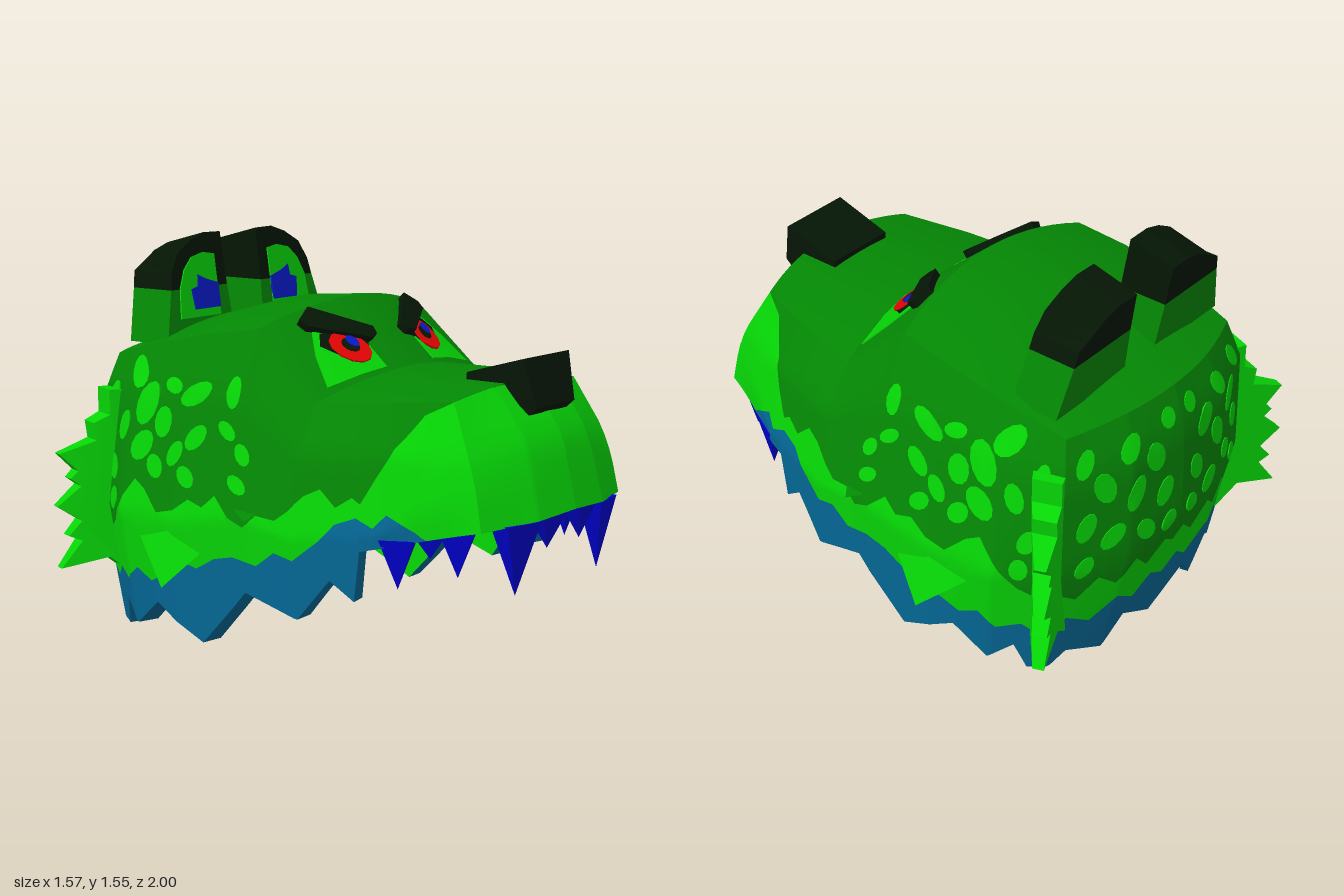
import * as THREE from 'three';
import { toCreasedNormals } from 'three/addons/utils/BufferGeometryUtils.js';

const V = (x, y, z) => new THREE.Vector3(x, y, z);
const mat = (name, color, side = THREE.FrontSide) => {
  const m = new THREE.MeshStandardMaterial({ color, side });
  m.name = name;
  return m;
};

// Half outline of the head, nose tip to nape: each column runs from rim to top crease
const COLS = [
  [[0, .6, 1], [0, .75, .965], [0, .87, .935], [0, 1.07, .79]],
  [[.22, .595, .98], [.21, .75, .945], [.2, .865, .912], [.2, 1.057, .775]],
  [[.47, .57, .9], [.46, .72, .87], [.45, .83, .83], [.4, 1.02, .73]],
  [[.61, .2, .53], [.62, .55, .55], [.57, .82, .51], [.48, 1, .45]],
  [[.69, .15, .22], [.7, .5, .22], [.64, .8, .21], [.53, .98, .2]],
  [[.7, .05, -.05], [.73, .55, -.05], [.62, 1, -.08], [.52, 1.23, -.09]],
  [[.7, 0, -.35], [.73, .5, -.35], [.63, 1, -.33], [.54, 1.2, -.31]],
  [[.65, 0, -.6], [.7, .5, -.64], [.61, .97, -.62], [.53, 1.14, -.6]],
  [[.53, 0, -.78], [.57, .5, -.86], [.55, .92, -.86], [.5, 1.08, -.82]],
  [[.28, 0, -.86], [.29, .5, -.97], [.28, .93, -.96], [.25, 1.095, -.9]],
  [[0, 0, -.87], [0, .55, -1], [0, .93, -.985], [0, 1.1, -.93]],
].map(c => c.map(p => V(...p)));

// Centre line of the top surface, matching columns 2 to 8
const MIDS = [[1.07, .79], [1.07, .5], [1.07, .26], [1.32, -.03], [1.3, -.3], [1.22, -.6], [1.1, -.93]].map(p => V(0, ...p));

const column = u => {
  const i = Math.min(9, Math.floor(u + 1e-6));
  return COLS[i].map((p, k) => p.clone().lerp(COLS[i + 1][k], u - i));
};
const topY = u => column(u)[3].y;
const side = (u, y) => {
  const c = column(u);
  const k = y < c[1].y ? 0 : y < c[2].y ? 1 : 2;
  return c[k].clone().lerp(c[k + 1], (y - c[k].y) / (c[k + 1].y - c[k].y));
};
const roof = (r, s) => {
  const i = Math.max(2, Math.min(7, Math.floor(r + 1e-6)));
  const edge = COLS[i][3].clone().lerp(COLS[i + 1][3], r - i);
  const p = MIDS[i - 2].clone().lerp(MIDS[i - 1], r - i).lerp(edge, s * s);
  p.x = edge.x * s;
  return p;
};
const brow = (x, y) => {
  const s0 = x / .525, t = (y - 1.07 + .09 * s0 * s0) / .25;
  return roof(4 + t * .999, x / (.53 - .01 * t));
};
const earFront = (x, y) => V(x, y, -.6 - (y - 1.35) * .15);

// Piecewise linear curve through [u, y] pairs
const curve = pts => u => {
  const i = Math.max(1, pts.findIndex(p => p[0] >= u - 1e-6));
  const [a, b] = [pts[i - 1], pts[i]];
  return a[1] + (b[1] - a[1]) * (u - a[0]) / (b[0] - a[0]);
};
const rim = curve([[0, .6], [2, .575], [3.2, .48], [3.25, .29], [3.55, .36], [3.95, .2], [4.8, .27], [5.55, .04], [6.4, .16], [6.95, .05],
  [7.4, .13], [7.65, .01], [8.05, .02], [8.3, .07], [8.95, 0], [9.3, .12], [10, 0]]);
const blueRaw = curve([[0, .3], [2.4, .5], [2.6, .56], [2.9, .62], [3.05, .57], [3.25, .6], [3.5, .57], [3.7, .5], [4, .42], [4.3, .44],
  [4.6, .38], [5, .4], [5.3, .38], [5.6, .33], [5.9, .35], [6.2, .28], [6.5, .24], [6.8, .28], [7.1, .22], [7.5, .25], [7.8, .2],
  [8.2, .27], [8.6, .2], [9, .28], [9.4, .2], [9.7, .27], [10, .22]]);
const brightRaw = curve([[0, 1.1], [2, 1.02], [2.4, .97], [2.8, .85], [3.1, .7], [3.2, .65], [3.3, .67], [3.5, .63], [3.7, .69], [3.9, .66],
  [4.1, .6], [4.3, .56], [4.6, .57], [4.8, .52], [5.05, .55], [5.3, .62], [5.5, .57], [5.75, .59], [6, .54], [6.3, .52], [6.6, .6],
  [6.8, .63], [7.1, .52], [7.4, .44], [7.7, .4], [8, .42], [8.3, .36], [8.6, .44], [8.9, .37], [9.2, .45], [9.5, .36], [9.8, .44], [10, .4]]);
const blueTop = u => Math.max(rim(u), blueRaw(u));
const brightTop = u => Math.min(topY(u), brightRaw(u));

// Lining surface: b runs from rim to top; the mane is thickest at the sides
const inset = curve([[0, .97], [2.4, .96], [3.4, .87], [8.2, .87], [9, .98], [10, .98]]);
const inner = (u, b) => {
  const k = inset(u);
  return side(u, rim(u) + (topY(u) - rim(u)) * b).multiply(V(k + (.96 - k) * b * b, 1 - .02 * b, .96));
};

const fromTriangles = tris => toCreasedNormals(new THREE.BufferGeometry().setFromPoints(tris), .6);
const grid = (f, nu, nv, inward = false) => {
  const tris = [];
  for (let i = 0; i < nu; i++) for (let j = 0; j < nv; j++) {
    const [a, b, c, d] = [f(i / nu, j / nv), f((i + 1) / nu, j / nv), f((i + 1) / nu, (j + 1) / nv), f(i / nu, (j + 1) / nv)];
    for (const [p, q, r] of [[a, b, c], [a, c, d]]) {
      if (V().subVectors(q, p).cross(V().subVectors(r, p)).length() < 1e-9) continue;
      tris.push(...(inward ? [p, r, q] : [p, q, r]));
    }
  }
  return fromTriangles(tris);
};
const band = (lo, hi) => grid((a, b) => side(a * 10, lo(a * 10) + (hi(a * 10) - lo(a * 10)) * b), 200, 8);
const hem = (u0, u1) => grid((a, b) => {
  const u = u0 + (u1 - u0) * a;
  return side(u, rim(u)).lerp(inner(u, 0), b);
}, Math.round((u1 - u0) * 20), 1, true);

// Plate of height h laid on a surface, with walls down to it
const plate = (surf, outline, h) => {
  const lift = (x, y, k) => {
    const p = surf(x, y), e = 1e-3;
    const n = surf(x + e, y).sub(p).cross(surf(x, y + e).sub(p)).normalize();
    return p.addScaledVector(n, k);
  };
  const n = outline.length;
  const mid = lift(outline.reduce((s, p) => s + p[0], 0) / n, outline.reduce((s, p) => s + p[1], 0) / n, h);
  const tris = [];
  outline.forEach((p, i) => {
    const q = outline[(i + 1) % n];
    const [a, b, c, d] = [lift(...p, h), lift(...q, h), lift(...p, -.004), lift(...q, -.004)];
    tris.push(mid, a, b, a, c, d, a, d, b);
  });
  return fromTriangles(tris);
};
const oval = (cx, cy, rx, ry, tilt = 0, n = 12) => Array.from({ length: n }, (_, i) => {
  const a = i / n * Math.PI * 2;
  return [cx + rx * (Math.cos(a) + tilt * Math.sin(a)), cy + ry * Math.sin(a)];
});
const extrude = (pts, depth) => new THREE.ExtrudeGeometry(new THREE.Shape(pts.map(p => new THREE.Vector2(...p))), { depth, bevelEnabled: false });
const bend = (g, rule) => {
  const p = g.attributes.position, v = V();
  for (let i = 0; i < p.count; i++) { v.fromBufferAttribute(p, i); rule(v); p.setXYZ(i, v.x, v.y, v.z); }
  return toCreasedNormals(g, .3);
};
const mirrored = src => {
  const g = src.index ? src.toNonIndexed() : src.clone();
  for (const key of ['position', 'normal']) {
    const a = g.attributes[key].array;
    for (let i = 0; i < a.length; i += 9) for (let k = 0; k < 3; k++) [a[i + 3 + k], a[i + 6 + k]] = [a[i + 6 + k], a[i + 3 + k]];
    for (let i = 0; i < a.length; i += 3) a[i] *= -1;
  }
  return g;
};

export function createModel() {
  const root = new THREE.Group();
  const dark = mat('dark green fur', 0x048804), bright = mat('bright green fur', 0x06d606, THREE.DoubleSide);
  const black = mat('black', 0x051605), red = mat('red iris', 0xff0606), blue = mat('blue detail', 0x0a1acc);
  const tooth = mat('blue teeth', 0x0000d4), mane = mat('teal mane', 0x046896);
  const add = (name, g, m) => {
    const mesh = new THREE.Mesh(g, m);
    mesh.name = name;
    root.add(mesh);
  };
  const pair = (name, g, m) => { add(name + 'Left', g, m); add(name + 'Right', mirrored(g), m); };

  // Head shell: coloured bands around the sides, then the top
  pair('maneBand', band(rim, blueTop), mane);
  pair('muzzleAndCheekBand', band(blueTop, brightTop), bright);
  pair('upperHead', band(brightTop, topY), dark);
  add('headTop', grid((a, b) => roof(2 + b * 6, a * 2 - 1), 16, 12), dark);

  // Lining of the open underside and the hem that joins it to the shell
  pair('lining', grid((a, b) => inner(a * 10, b), 200, 10, true), bright);
  add('liningTop', grid((a, b) => roof(2 + b * 6, a * 2 - 1).multiply(V(.96, .98, .96)), 12, 12, true), bright);
  pair('lipEdge', hem(0, 2.5), dark);
  pair('maneEdge', hem(2.5, 10), mane);

  // Spots on the cheeks and nape: column, height, half width, half height, tilt
  [[5.15, 1, .13, .06, 0], [5.85, .98, .24, .05, -.6], [6.3, 1, .16, .03, .3], [6.75, .92, .2, .085, -.3], [7.1, 1.03, .22, .06, .5],
    [4.9, .78, .12, .04, .4], [5.2, .86, .14, .035, .6], [5.75, .82, .17, .05, -.5], [6.1, .75, .13, .05, -.4], [6.4, .86, .16, .06, 0],
    [6.75, .76, .2, .06, -.3], [4.95, .67, .14, .035, .5], [5.85, .67, .15, .04, .4], [6.45, .69, .15, .045, .3], [7.25, .82, .15, .06, -.3],
    [7.5, .65, .15, .05, .3], [7.4, .53, .14, .045, 0], [7.65, .93, .12, .05, .3], [8.3, .97, .13, .05, .3], [8.6, .85, .16, .07, -.4],
    [8.35, .7, .14, .06, .3], [8.75, .62, .17, .05, .4], [9, .97, .16, .05, .3], [9.1, .77, .15, .07, .4], [9.45, .88, .17, .065, -.3],
    [9.3, .58, .16, .05, -.4], [9.65, .7, .15, .06, .3], [9.75, 1, .13, .04, 0], [8.35, .52, .13, .045, .3], [9.75, .55, .13, .045, .2],
  ].forEach(s => pair('spot', plate(side, oval(...s), .003), bright));

  // Cheek tufts
  const tuft = (a, b, c, tip) => fromTriangles([a, b, tip, b, c, tip, c, a, tip].map(p => V(...p)));
  pair('lowerCheekTuft', tuft([.7, .44, -.16], [.7, .42, -.54], [.68, .62, -.38], [.785, .25, -.35]), bright);
  pair('upperCheekTuft', tuft([.7, .58, .06], [.69, .76, -.16], [.69, .62, -.12], [.745, .55, .03]), dark);

  // Jagged fur fins at the rear corners, thick at the root
  const fin = [[-.04, .2], [.06, .28], [.24, .24], [.16, .35], [.21, .37], [.16, .43], [.25, .49], [.16, .57], [.2, .6], [.17, .63],
    [.24, .7], [.1, .75], [.11, .82], [.05, .85], [.05, .95], [-.04, .95]];
  const finGeo = bend(extrude(fin, 1), v => { v.z *= .13 - .36 * Math.max(0, v.x); });
  pair('furFin', finGeo.rotateY(.38).translate(.53, 0, -.85), bright);

  // Ears
  const lean = v => {
    if (v.y > 1.47 && v.z < -.7) v.y -= .05;
    v.z -= (v.y - 1.35) * .15;
  };
  const ear = pts => bend(extrude(pts, .2).translate(0, 0, -.8), lean);
  pair('earBase', ear([[.09, 1.13], [.49, 1.13], [.435, 1.335], [.105, 1.335]]), dark);
  pair('earTip', ear([[.105, 1.335], [.435, 1.335], [.42, 1.4], [.375, 1.475], [.29, 1.522], [.21, 1.547], [.11, 1.545]]), black);
  pair('innerEar', plate(earFront, [[.165, 1.22], [.4, 1.22], [.385, 1.34], [.35, 1.41], [.3, 1.455], [.23, 1.47], [.165, 1.46]], .005), bright);
  pair('earFur', plate(earFront, [[.165, 1.25], [.315, 1.25], [.325, 1.33], [.285, 1.34], [.28, 1.385], [.235, 1.365], [.165, 1.345]], .009), blue);

  // Eyes, layered on the brow slope
  pair('eyePatch', plate(brow, [[.15, 1.075], [.28, 1.06], [.45, 1.025], [.4, 1.13], [.34, 1.21], [.15, 1.19]], .005), bright);
  pair('eye', plate(brow, [[.13, 1.175], [.19, 1.11], [.28, 1.105], [.355, 1.16], [.32, 1.2], [.17, 1.21]], .008), black);
  pair('iris', plate(brow, oval(.24, 1.148, .08, .052), .011), red);
  pair('pupil', plate(brow, oval(.237, 1.153, .034, .023), .014), black);
  [-.22, .26].forEach(x => add('eyeGlint', plate(brow, oval(x, 1.163, .024, .019), .017), blue));
  pair('eyebrow', plate(brow, [[.09, 1.195], [.1, 1.17], [.14, 1.16], [.36, 1.215], [.37, 1.24], [.3, 1.28]], .032), black);

  // Nose, narrowing towards its lower edge
  const nose = extrude([[.61, 1.05], [.78, 1.04], [.87, .95], [.905, .98], [.86, 1.16], [.61, 1.09]], .3).rotateY(-Math.PI / 2).translate(.15, 0, 0);
  add('nose', bend(nose, v => { v.x *= v.y < 1 ? .85 : v.y > 1.1 ? 1.03 : 1; }), black);

  // Teeth: x, z, root height, tip height, width, turn
  [[.11, .945, .595, .465, .14, .1], [.28, .92, .585, .315, .17, .2], [.455, .79, .57, .395, .13, 1.15],
    [.5, .7, .54, .46, .1, 1.15], [.56, .6, .53, .345, .13, 1.15]].forEach(([x, z, top, tip, w, turn]) => {
    const g = new THREE.ConeGeometry(w * .707, top - tip, 4).rotateY(Math.PI / 4).rotateX(Math.PI).scale(1, 1, .55);
    pair('tooth', toCreasedNormals(g.rotateY(turn).translate(x, (top + tip) / 2, z), .3), tooth);
  });
  return root;
}
